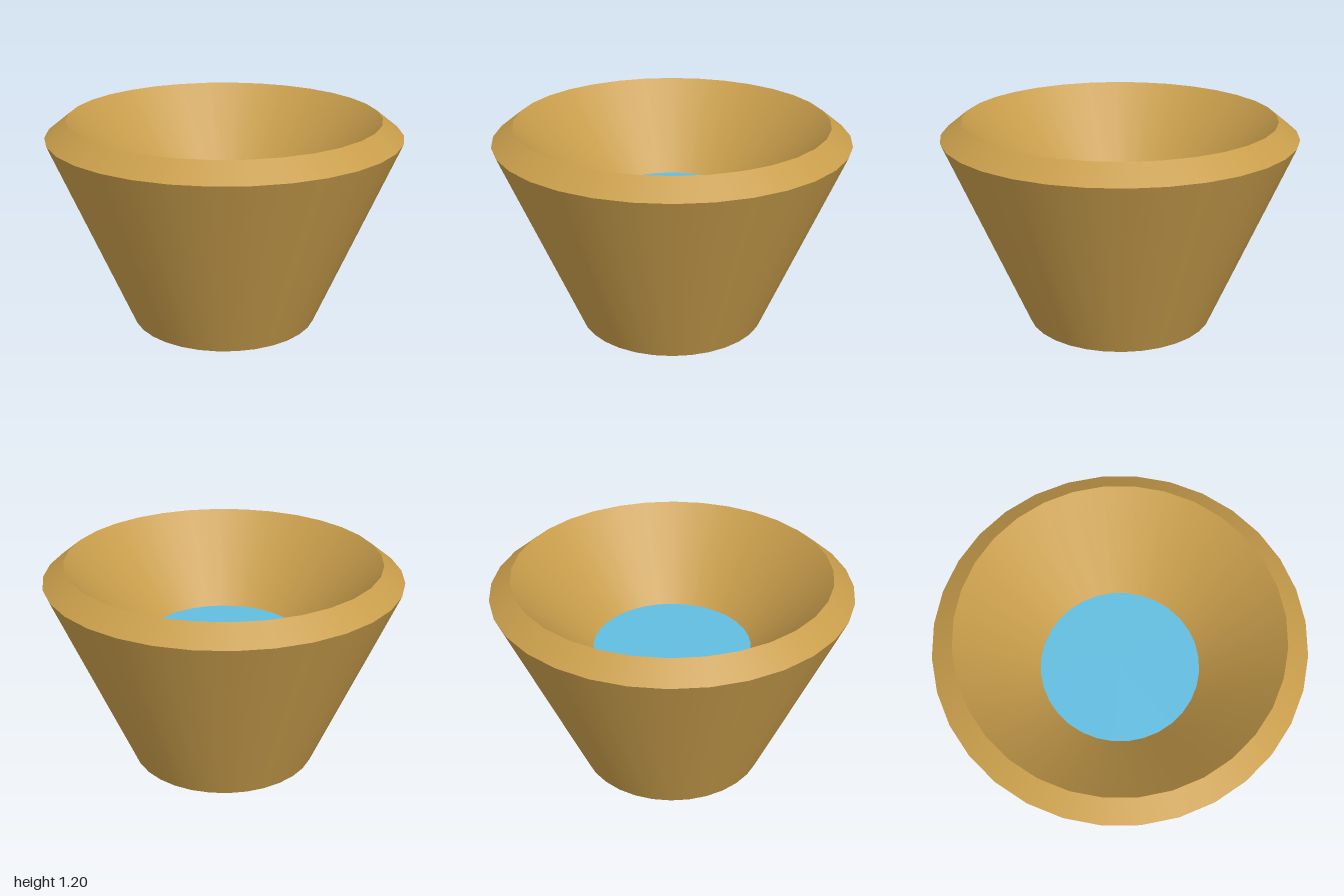
import * as THREE from 'three';

const SIDES = 32;

export function createModel() {
  const group = new THREE.Group();
  group.name = 'bowl';
  const clay = new THREE.MeshStandardMaterial({ color: 0xc89d4b });
  const water = new THREE.MeshStandardMaterial({ color: 0x62bde0 });

  // One smooth band of revolution; separate bands keep the edges between them sharp
  const band = (name, r0, y0, r1, y1, material) => {
    const profile = [new THREE.Vector2(r0, y0), new THREE.Vector2(r1, y1)];
    const mesh = new THREE.Mesh(new THREE.LatheGeometry(profile, SIDES), material);
    mesh.name = name;
    group.add(mesh);
  };

  // Outer wall, sloping rim and inner wall
  band('outerWall', 0.535, 0, 1, 1.1, clay);
  band('rim', 1, 1.1, 0.88, 1.195, clay);
  band('innerWall', 0.88, 1.195, 0.45, 0.715, clay);

  // Flat discs: the base faces down, the water surface faces up
  const disc = (name, radius, y, tilt, material) => {
    const mesh = new THREE.Mesh(new THREE.CircleGeometry(radius, SIDES), material);
    mesh.name = name;
    mesh.rotation.x = tilt;
    mesh.position.y = y;
    group.add(mesh);
  };
  disc('base', 0.535, 0, Math.PI / 2, clay);
  disc('waterSurface', 0.45, 0.715, -Math.PI / 2, water);

  return group;
}
